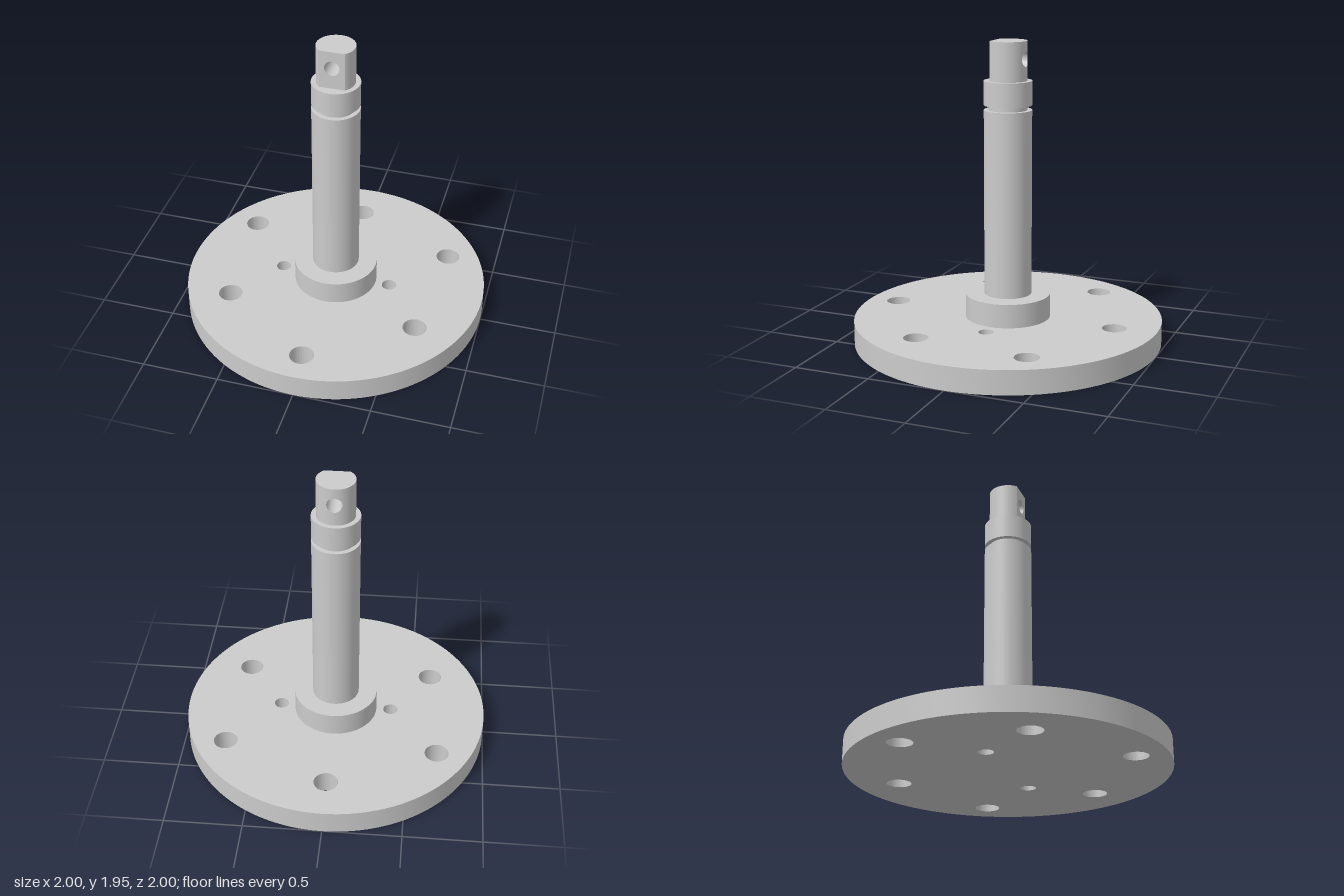
import * as THREE from 'three';
import { toCreasedNormals } from 'three/addons/utils/BufferGeometryUtils.js';
import { ParametricGeometry } from 'three/addons/geometries/ParametricGeometry.js';

const material = new THREE.MeshStandardMaterial({ color: 0xcccccc });

function add(group, name, geometry) {
  const mesh = new THREE.Mesh(geometry, material);
  mesh.name = name;
  group.add(mesh);
  return mesh;
}

function circlePath(x, y, r) {
  return new THREE.Path().absarc(x, y, r, 0, Math.PI * 2, true);
}

// Round section of the post between two heights
function addSection(group, name, r, y0, y1) {
  add(group, name, new THREE.CylinderGeometry(r, r, y1 - y0, 96)).position.y = (y0 + y1) / 2;
}

// Disc with six bolt holes on two alternating radii and two small pin holes
function createFlange() {
  const shape = new THREE.Shape().absarc(0, 0, 1, 0, Math.PI * 2, false);
  for (let i = 0; i < 6; i++) {
    const a = Math.PI / 2 + (i * Math.PI) / 3;
    const d = i % 2 ? 0.8 : 0.725;
    shape.holes.push(circlePath(d * Math.cos(a), d * Math.sin(a), 0.078));
  }
  for (const side of [-1, 1]) shape.holes.push(circlePath(side * 0.37, 0, 0.048));
  const geometry = new THREE.ExtrudeGeometry(shape, { depth: 0.155, bevelEnabled: false, curveSegments: 64 });
  geometry.rotateX(-Math.PI / 2);
  return toCreasedNormals(geometry, 0.6);
}

// Round tip with a flat on the front and a cross hole running front to back
function createTip() {
  const tip = new THREE.Group();
  tip.name = 'tip';
  const R = 0.122, flatZ = 0.092, y0 = 1.695, y1 = 1.945;
  const holeR = 0.048, holeY = 1.833;
  const halfX = Math.sqrt(R * R - flatZ * flatZ);
  const sweep = Math.PI - Math.asin(halfX / R);

  // Curved wall: spreads from the hole rim (u = 0) to the wall's border (u = 1)
  add(tip, 'tipWall', new ParametricGeometry((u, v, target) => {
    const a = v * Math.PI * 2, c = Math.cos(a), s = Math.sin(a);
    const m = Math.max(Math.abs(c), Math.abs(s));
    const angle = THREE.MathUtils.lerp(Math.asin((holeR * c) / R), (sweep * c) / m, u);
    const edgeY = (y0 + y1) / 2 + ((y1 - y0) / 2) * (s / m);
    const y = THREE.MathUtils.lerp(holeY + holeR * s, edgeY, u);
    target.set(-R * Math.sin(angle), y, -R * Math.cos(angle));
  }, 24, 160));

  // Bore of the cross hole, from the curved back to the flat
  add(tip, 'crossHole', new ParametricGeometry((u, v, target) => {
    const a = u * Math.PI * 2;
    const x = -holeR * Math.cos(a);
    const z = THREE.MathUtils.lerp(-Math.sqrt(R * R - x * x), flatZ, v);
    target.set(x, holeY + holeR * Math.sin(a), z);
  }, 160, 2));

  // Flat front face
  const face = new THREE.Shape();
  face.moveTo(-halfX, y0).lineTo(halfX, y0).lineTo(halfX, y1).lineTo(-halfX, y1).closePath();
  face.holes.push(circlePath(0, holeY, holeR));
  add(tip, 'tipFlat', new THREE.ShapeGeometry(face, 64)).position.z = flatZ;

  // Top cap, a circle cut by the flat
  const cap = new THREE.Shape().absarc(0, 0, R, Math.PI / 2 - sweep, Math.PI / 2 + sweep, false);
  const capGeometry = new THREE.ShapeGeometry(cap, 80).rotateX(-Math.PI / 2);
  add(tip, 'tipTop', capGeometry).position.y = y1;
  return tip;
}

export function createModel() {
  const model = new THREE.Group();
  model.name = 'flangedShaft';
  add(model, 'flange', createFlange());
  addSection(model, 'hub', 0.275, 0.155, 0.31);
  addSection(model, 'shaft', 0.153, 0.31, 1.51);
  addSection(model, 'groove', 0.123, 1.51, 1.54);
  addSection(model, 'collar', 0.153, 1.54, 1.695);
  model.add(createTip());
  return model;
}
